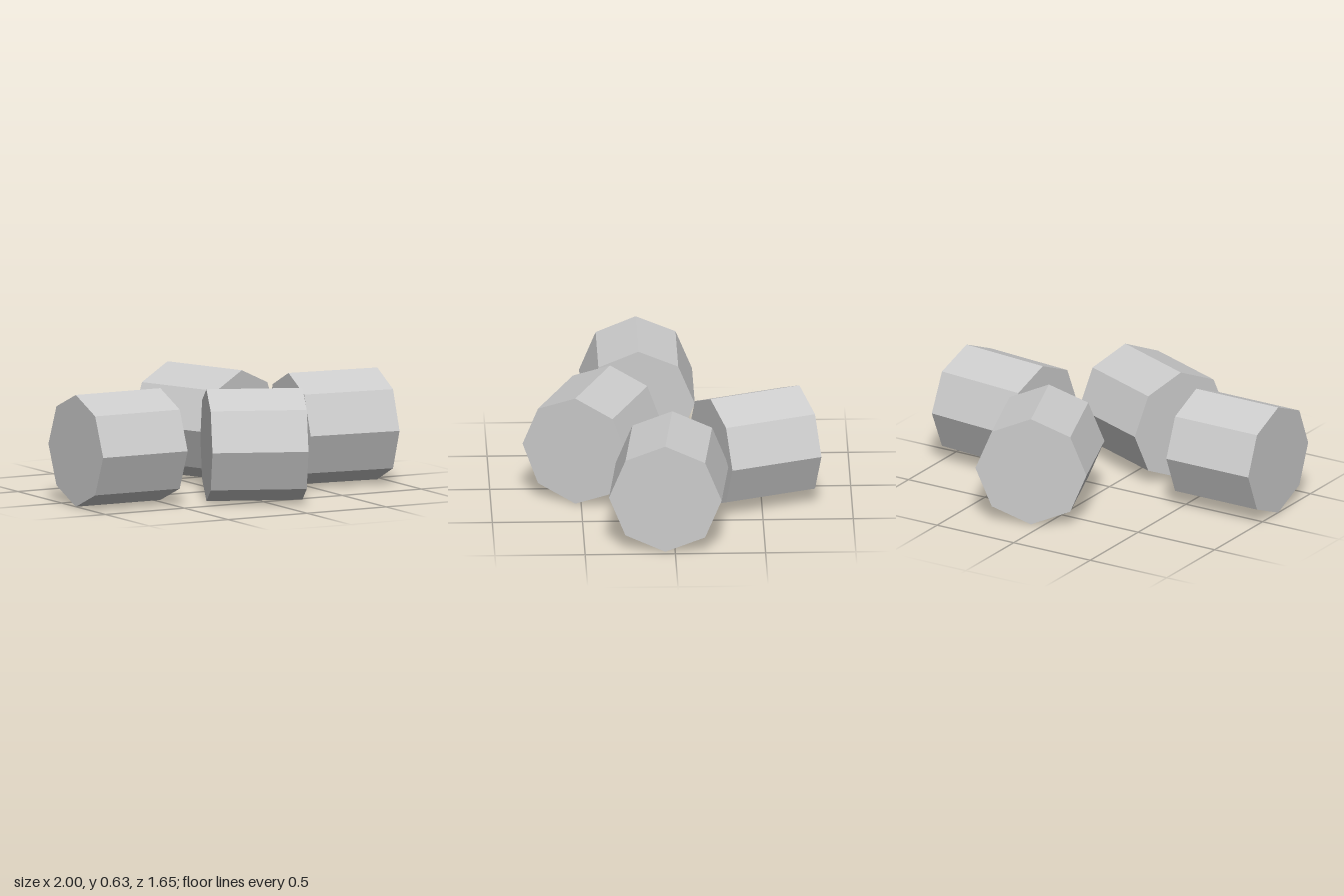
import * as THREE from 'three';

export function createModel() {
  const group = new THREE.Group();
  const grey = new THREE.MeshStandardMaterial({ color: 0xcccccc, flatShading: true });
  grey.name = 'plain grey';

  // Octagonal prism lying along x, with a ridge at the top
  const radius = 0.313;
  const geometry = new THREE.CylinderGeometry(radius, radius, 0.535, 8);
  geometry.rotateZ(Math.PI / 2);

  // Each log: name, centre x, centre z, turn in degrees from +x towards +z
  const logs = [
    ['rightLog', -0.733, 0.163, 0],
    ['frontLog', -0.017, 0.429, 22.8],
    ['leftLog', 0.702, 0.028, 5.8],
    ['backLog', 0.163, -0.465, 68.7],
  ];
  for (const [name, x, z, turn] of logs) {
    const log = new THREE.Mesh(geometry, grey);
    log.name = name;
    log.position.set(x, radius, z);
    log.rotation.y = -THREE.MathUtils.degToRad(turn);
    group.add(log);
  }
  return group;
}
